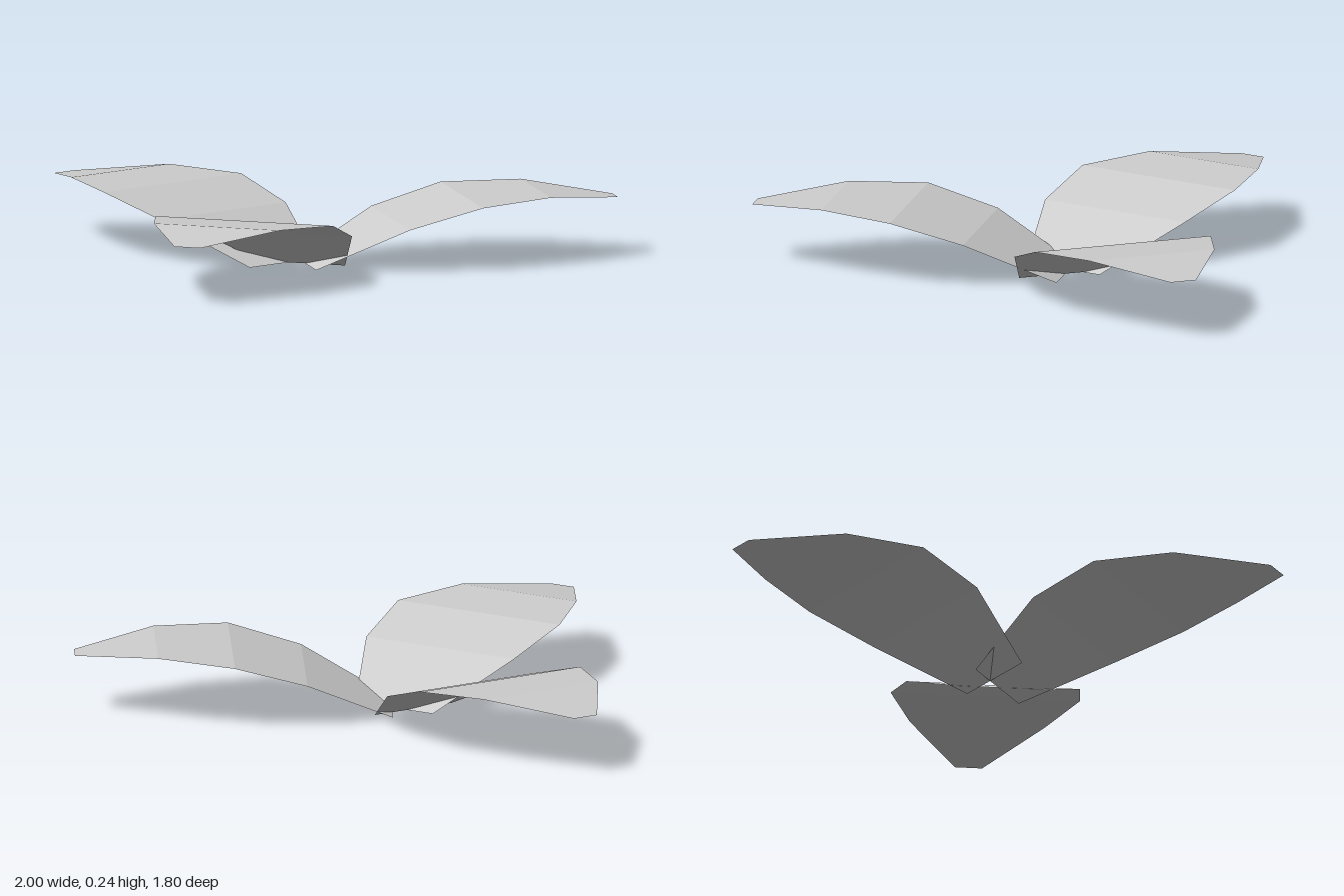
import * as THREE from 'three';

// Leaf cross-sections from tip to base: [half width, distance from base, height]
const SECTIONS = [
  [0.048, 1.11, 0.206],
  [0.237, 0.825, 0.24],
  [0.333, 0.56, 0.225],
  [0.305, 0.305, 0.152],
  [0.16, 0, 0],
];

// A thin arching leaf, bent only along its length, growing towards -z
function leafGeometry() {
  const plane = new THREE.PlaneGeometry(2, 1, 1, SECTIONS.length - 1);
  const pos = plane.attributes.position;
  for (let i = 0; i < pos.count; i++) {
    const [half, along, height] = SECTIONS[Math.floor(i / 2)];
    pos.setXYZ(i, pos.getX(i) * half, height, -along);
  }
  const geometry = plane.toNonIndexed();
  geometry.computeVertexNormals();
  return geometry;
}

export function createModel() {
  const model = new THREE.Group();
  model.name = 'threeLeafPlant';

  const leafGrey = new THREE.MeshStandardMaterial({
    color: 0xcccccc, flatShading: true, side: THREE.DoubleSide,
  });
  leafGrey.name = 'leafGrey';

  // Each leaf: name, base x and z, growing direction x and z
  const leaves = [
    ['backLeaf', -0.028, 0.205, 0, -1],
    ['leftLeaf', 0.018, 0.274, 0.86, 0.51],
    ['rightLeaf', 0.021, 0.253, -0.906, 0.424],
  ];
  const geometry = leafGeometry();
  for (const [name, x, z, dx, dz] of leaves) {
    const leaf = new THREE.Mesh(geometry, leafGrey);
    leaf.name = name;
    leaf.position.set(x, 0, z);
    leaf.rotation.y = Math.atan2(-dx, -dz);
    model.add(leaf);
  }
  return model;
}
